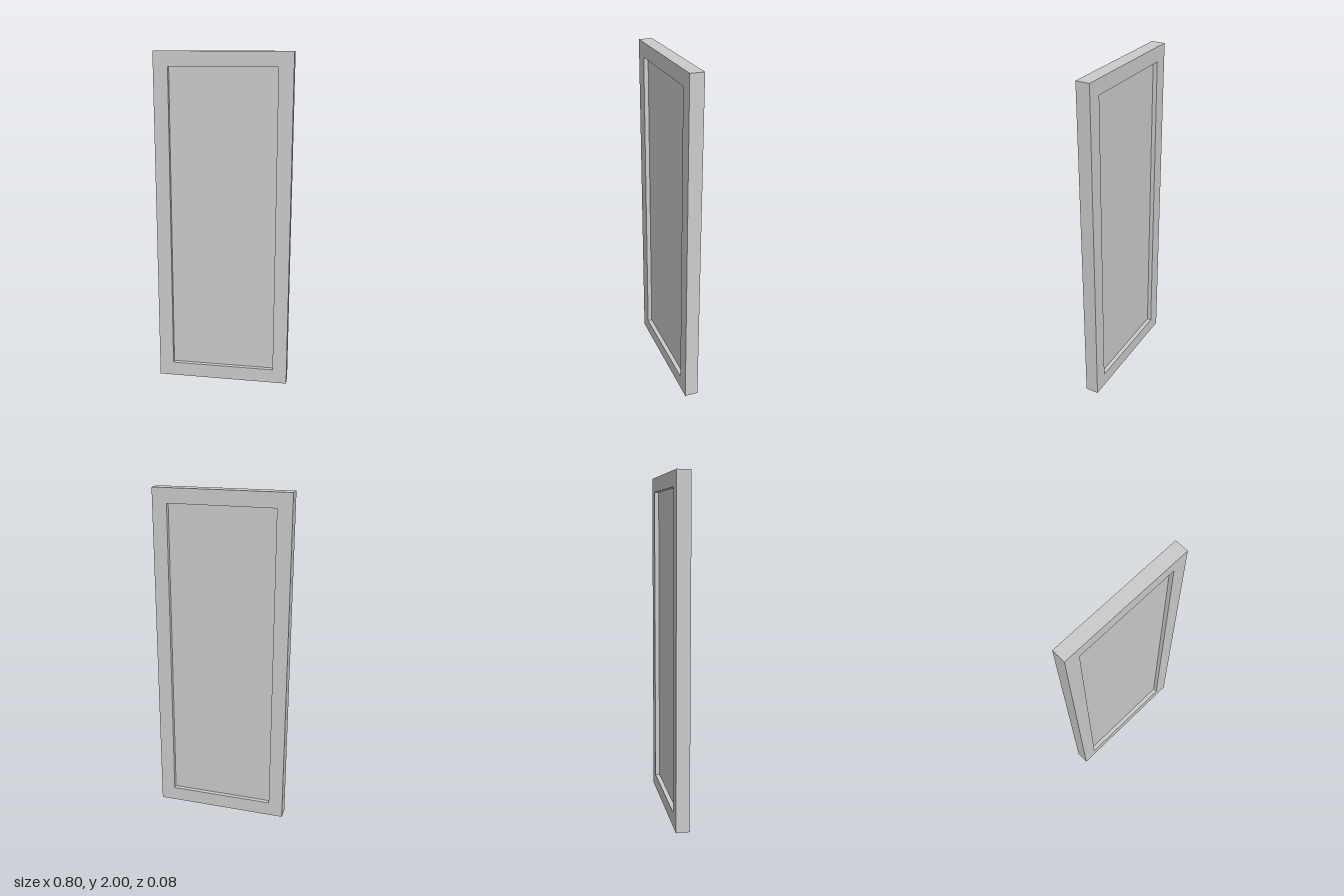
import * as THREE from 'three';

const WIDTH = 0.8, HEIGHT = 2, DEPTH = 0.08;
const BORDER = 0.086;      // face width of the frame
const PANEL_DEPTH = 0.028; // panel sits recessed on both sides

// Rectangle centred on x, standing from y0 to y1
function rectangle(path, halfWidth, y0, y1) {
  path.moveTo(-halfWidth, y0);
  path.lineTo(halfWidth, y0);
  path.lineTo(halfWidth, y1);
  path.lineTo(-halfWidth, y1);
  path.closePath();
  return path;
}

export function createModel() {
  const group = new THREE.Group();
  group.name = 'framedPanel';
  const material = new THREE.MeshStandardMaterial({ color: 0xcccccc });

  // Outer frame with a rectangular opening
  const outline = rectangle(new THREE.Shape(), WIDTH / 2, 0, HEIGHT);
  outline.holes.push(rectangle(new THREE.Path(), WIDTH / 2 - BORDER, BORDER, HEIGHT - BORDER));
  const frameGeometry = new THREE.ExtrudeGeometry(outline, { depth: DEPTH, bevelEnabled: false });
  frameGeometry.translate(0, 0, -DEPTH / 2);
  const frame = new THREE.Mesh(frameGeometry, material);
  frame.name = 'frame';
  group.add(frame);

  // Thin panel filling the opening
  const panel = new THREE.Mesh(
    new THREE.BoxGeometry(WIDTH - 2 * BORDER, HEIGHT - 2 * BORDER, PANEL_DEPTH),
    material
  );
  panel.name = 'panel';
  panel.position.y = HEIGHT / 2;
  group.add(panel);

  return group;
}
